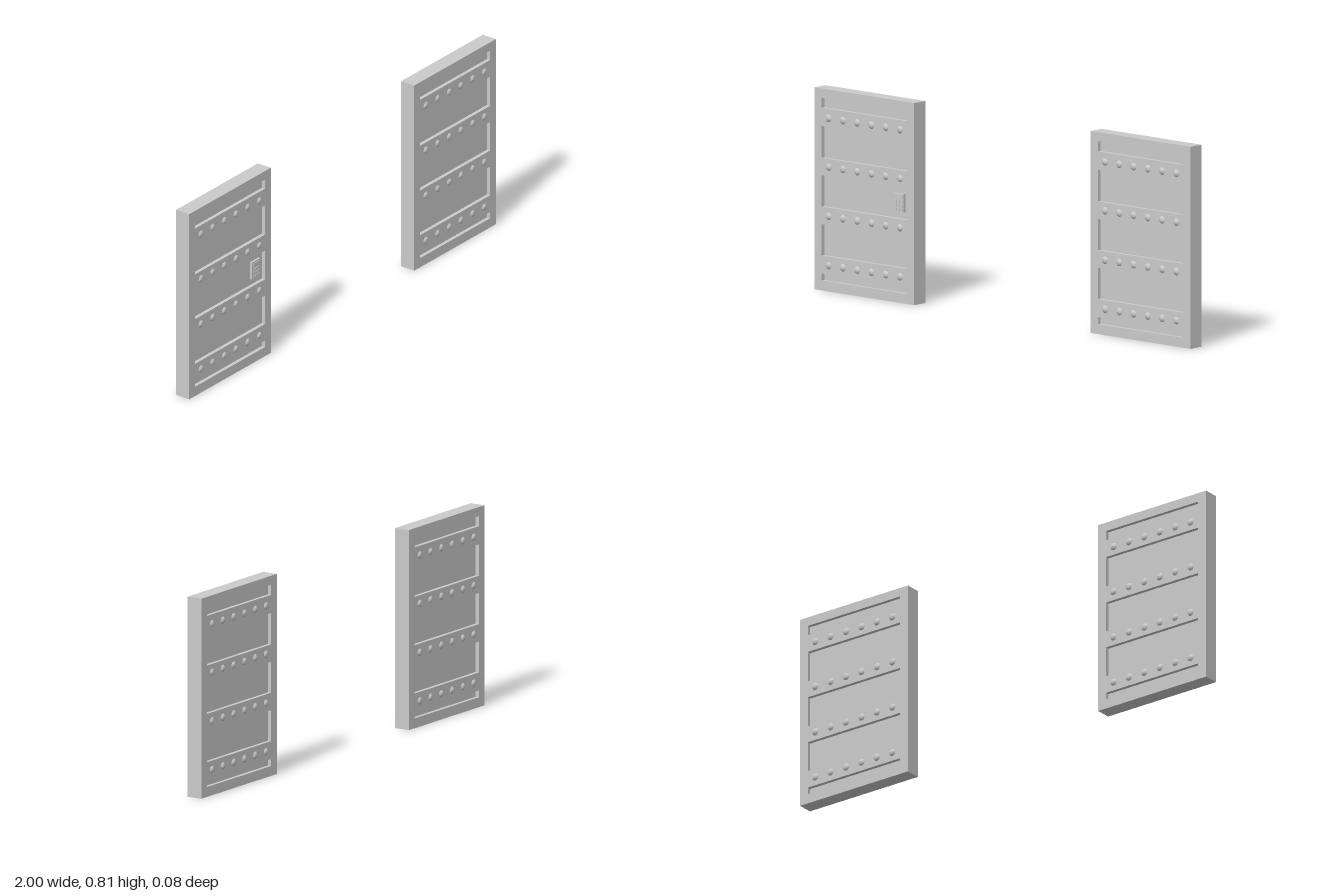
import * as THREE from 'three';

const W = 0.532, H = 0.807, T = 0.065;      // door size
const INNER = 0.227;                        // half width of the recessed field
const PANEL_T = 0.034;                      // thickness of the recessed panel
const RIVET_ROWS = [0.104, 0.3, 0.497, 0.692];
// Bottom and top of each recess; the solid strips between them are the rails
const RECESSES = [[0.04, 0.068], [0.14, 0.265], [0.335, 0.46], [0.53, 0.657], [0.73, 0.77]];

const material = new THREE.MeshStandardMaterial({ color: 0xcccccc });

function add(parent, name, geometry, x = 0, y = 0, z = 0) {
  const mesh = new THREE.Mesh(geometry, material);
  mesh.name = name;
  mesh.position.set(x, y, z);
  parent.add(mesh);
  return mesh;
}

function rectangle(target, x0, y0, x1, y1) {
  target.moveTo(x0, y0);
  target.lineTo(x1, y0);
  target.lineTo(x1, y1);
  target.lineTo(x0, y1);
  target.closePath();
  return target;
}

function createDoor(name) {
  const door = new THREE.Group();
  door.name = name;

  // Outer frame and cross rails in one piece
  const shape = rectangle(new THREE.Shape(), -W / 2, 0, W / 2, H);
  for (const [y0, y1] of RECESSES) {
    shape.holes.push(rectangle(new THREE.Path(), -INNER, y0, INNER, y1));
  }
  const frame = new THREE.ExtrudeGeometry(shape, { depth: T, bevelEnabled: false });
  add(door, 'frameAndRails', frame, 0, 0, -T / 2);

  // Recessed panels
  for (const [y0, y1] of RECESSES) {
    add(door, 'panel', new THREE.BoxGeometry(INNER * 2, y1 - y0, PANEL_T), 0, (y0 + y1) / 2, 0);
  }

  // Round rivets on both faces of every rail
  const rivet = new THREE.SphereGeometry(0.02, 20, 14);
  for (const side of [-1, 1]) {
    for (const y of RIVET_ROWS) {
      for (let i = 0; i < 6; i++) add(door, 'rivet', rivet, (i - 2.5) * 0.076, y, side * 0.0195);
    }
  }
  return door;
}

// Keypad lock: housing, display and a grid of keys
function createKeypad() {
  const keypad = new THREE.Group();
  keypad.name = 'keypad';
  add(keypad, 'housing', new THREE.BoxGeometry(0.054, 0.074, 0.01), 0, 0, 0.005);
  add(keypad, 'display', new THREE.BoxGeometry(0.042, 0.015, 0.003), 0, 0.024, 0.011);
  const key = new THREE.BoxGeometry(0.011, 0.011, 0.003);
  for (let row = 0; row < 3; row++) {
    for (let column = -1; column <= 1; column++) {
      add(keypad, 'key', key, column * 0.0155, 0.004 - row * 0.0155, 0.011);
    }
  }
  return keypad;
}

export function createModel() {
  const model = new THREE.Group();
  model.name = 'rivetedDoors';

  const lockedDoor = createDoor('lockedDoor');
  lockedDoor.position.set(-0.734, 0, 0.0015);
  const keypad = createKeypad();
  keypad.position.set(0.177, 0.398, PANEL_T / 2);
  lockedDoor.add(keypad);

  const plainDoor = createDoor('plainDoor');
  plainDoor.position.set(0.734, 0, -0.0015);

  model.add(lockedDoor, plainDoor);
  return model;
}
